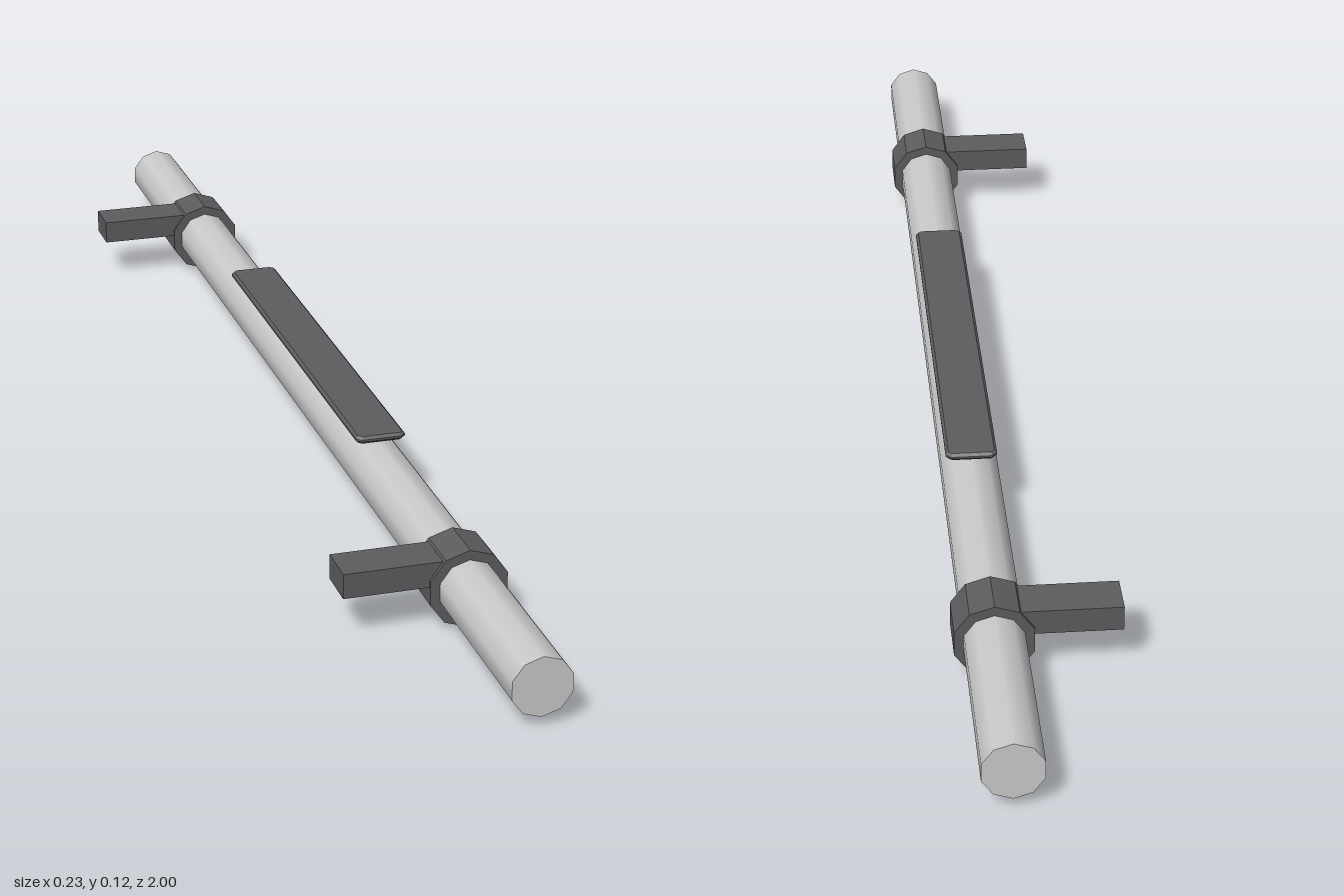
import * as THREE from 'three';

const AXIS_X = 0.06, AXIS_Y = 0.057;

export function createModel() {
  const model = new THREE.Group();
  model.name = 'rodWithClamps';
  const grey = new THREE.MeshStandardMaterial({ color: 0xcccccc });
  const dark = new THREE.MeshStandardMaterial({ color: 0x5d5d60, flatShading: true });

  const add = (name, geometry, material, x, y, z) => {
    const mesh = new THREE.Mesh(geometry, material);
    mesh.name = name;
    mesh.position.set(x, y, z);
    model.add(mesh);
  };

  // Ten-sided cylinder lying along z, with a corner at the bottom
  const zCylinder = (radius, length) =>
    new THREE.CylinderGeometry(radius, radius, length, 10).rotateX(Math.PI / 2);

  // Long smooth rod
  add('rod', zCylinder(0.043, 2), grey, AXIS_X, AXIS_Y, 0);

  // A clamp with a side arm near each end
  const armLeft = -0.114, armRight = 0.03;
  for (const [side, label] of [[1, 'front'], [-1, 'back']]) {
    const z = side * 0.688;
    add(label + 'Clamp', zCylinder(0.057, 0.072), dark, AXIS_X, AXIS_Y, z);
    add(label + 'Arm', new THREE.BoxGeometry(armRight - armLeft, 0.036, 0.062), dark,
      (armLeft + armRight) / 2, 0.082, z);
  }

  // Thin pad with bevelled edges and clipped corners on top of the rod
  const w = 0.033, l = 0.341, c = 0.005;
  const outline = new THREE.Shape([
    [w - c, -l], [w, c - l], [w, l - c], [w - c, l],
    [c - w, l], [-w, l - c], [-w, c - l], [c - w, -l],
  ].map(([x, y]) => new THREE.Vector2(x, y)));
  const pad = new THREE.ExtrudeGeometry(outline, {
    depth: 0.003, bevelEnabled: true, bevelThickness: 0.004, bevelSize: 0.004, bevelSegments: 1,
  }).rotateX(-Math.PI / 2);
  add('topPad', pad, dark, AXIS_X, 0.108, 0);

  return model;
}
